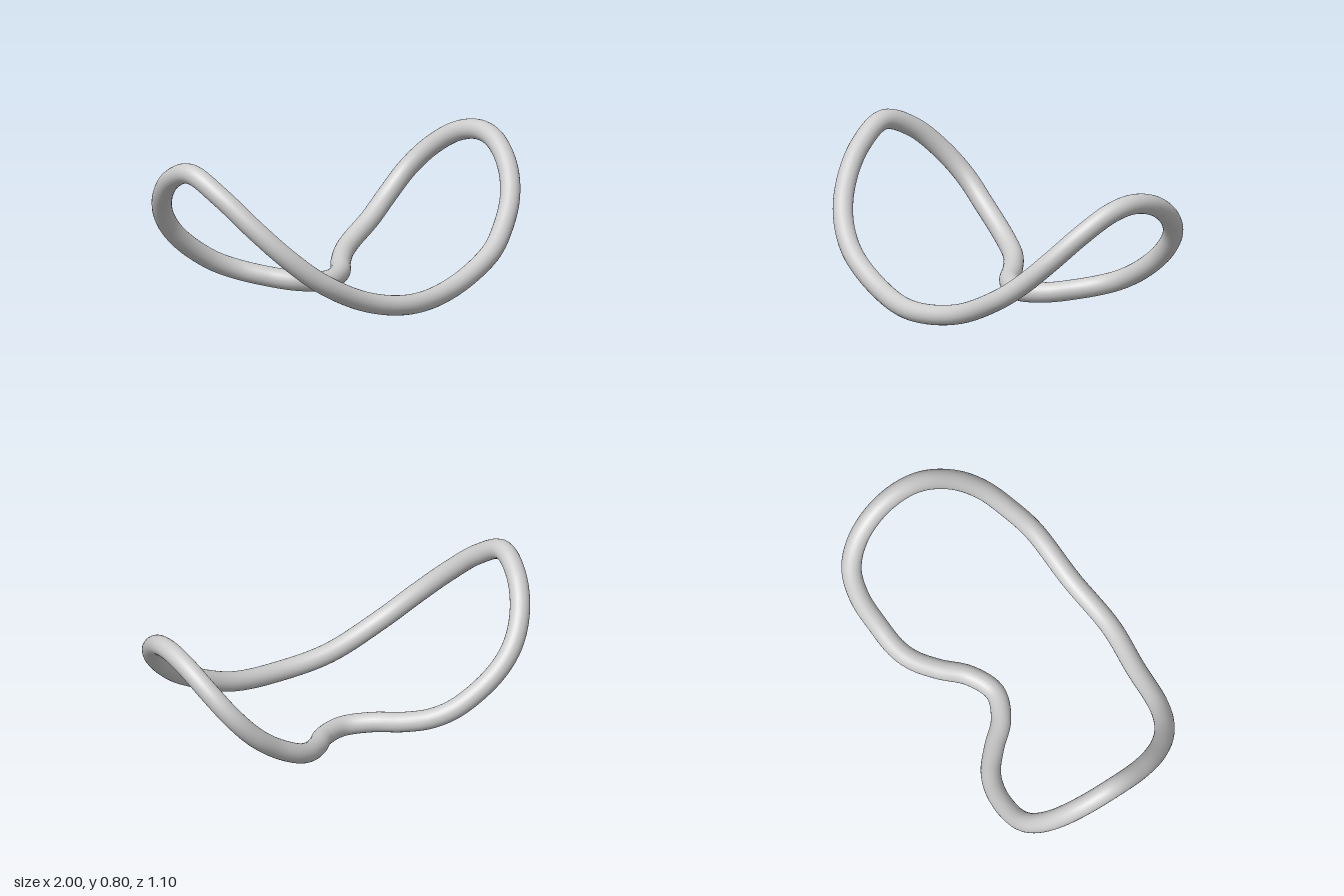
import * as THREE from 'three';

// Height of the bent loop: a circular arc seen from the front
const ARC = { x: 0.01, y: 1.06, r: 1.01 };
const arcHeight = (x) => ARC.y - Math.sqrt(ARC.r ** 2 - (x - ARC.x) ** 2);

// Plan outline of the loop as [x, z], starting at the back notch, round by +x
const OUTLINE = [
  [0, -0.167], [0.14, -0.225], [0.245, -0.335], [0.345, -0.42], [0.43, -0.46],
  [0.57, -0.485], [0.7, -0.5], [0.81, -0.475], [0.885, -0.39], [0.932, -0.25],
  [0.946, -0.1], [0.935, 0.03], [0.885, 0.18], [0.8, 0.295], [0.68, 0.375],
  [0.55, 0.43], [0.27, 0.465], [-0.03, 0.497],
  [-0.29, 0.468], [-0.56, 0.428], [-0.72, 0.355], [-0.835, 0.24], [-0.915, 0.08],
  [-0.95, -0.1], [-0.928, -0.27], [-0.868, -0.405], [-0.78, -0.483], [-0.665, -0.503],
  [-0.475, -0.48], [-0.355, -0.43], [-0.245, -0.335], [-0.14, -0.225],
];

export function createModel() {
  const group = new THREE.Group();
  group.name = 'bentLoop';

  // Closed round tube following the outline laid onto the arc
  const points = OUTLINE.map(([x, z]) => new THREE.Vector3(x, arcHeight(x), z));
  const path = new THREE.CatmullRomCurve3(points, true, 'centripetal');
  const rim = new THREE.Mesh(
    new THREE.TubeGeometry(path, 240, 0.05, 24, true),
    new THREE.MeshStandardMaterial({ color: 0xcccccc })
  );
  rim.name = 'rimTube';
  group.add(rim);
  return group;
}
